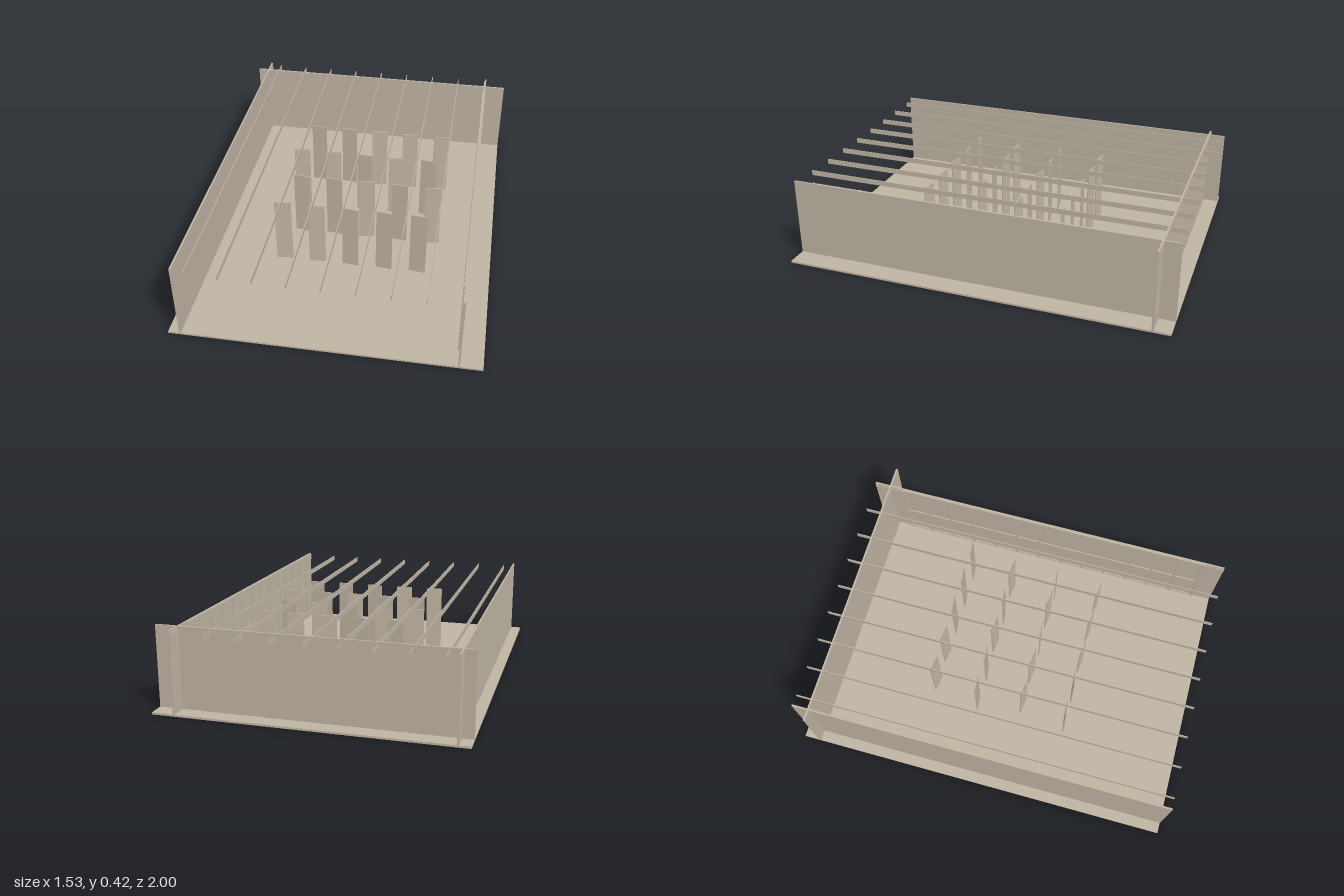
import * as THREE from 'three';

export function createModel() {
  const group = new THREE.Group();
  const board = new THREE.MeshStandardMaterial({ color: 0xc0b5a4 });
  board.name = 'greyBeigeBoard';

  // Box given by its extents on each axis
  function slab(name, [x0, x1], [y0, y1], [z0, z1], parent = group) {
    const mesh = new THREE.Mesh(new THREE.BoxGeometry(x1 - x0, y1 - y0, z1 - z0), board);
    mesh.position.set((x0 + x1) / 2, (y0 + y1) / 2, (z0 + z1) / 2);
    mesh.name = name;
    parent.add(mesh);
    return mesh;
  }

  const base = 0.01, top = 0.423;

  // Floor and three walls, crossing each other at the back corners
  slab('floor', [-0.765, 0.765], [0, base], [-1, 1]);
  slab('rightWall', [-0.709, -0.7], [base, top], [-1, 1]);
  slab('leftWall', [0.646, 0.655], [base, top], [-1, 1]);
  slab('backWall', [-0.765, 0.765], [base, top], [-0.917, -0.907]);

  // Window framing on the inner face of the left wall
  const frame = new THREE.Group();
  frame.name = 'windowFrame';
  group.add(frame);
  const zStart = -0.83, zEnd = 0.89, bays = 13;
  for (let i = 0; i <= bays; i++) {
    const z = zStart + ((zEnd - zStart) * i) / bays;
    slab('mullion', [0.637, 0.646], [base, top - 0.001], [z - 0.006, z + 0.006], frame);
  }
  for (const y of [0.016, 0.2, 0.416]) {
    slab('rail', [0.639, 0.646], [y - 0.005, y + 0.005], [zStart, zEnd], frame);
  }

  // Ceiling beams, running the full depth and through the back wall
  const beams = new THREE.Group();
  beams.name = 'ceilingBeams';
  group.add(beams);
  for (let i = -4; i <= 4; i++) {
    const x = i * 0.161;
    slab('beam', [x - 0.002, x + 0.002], [0.384, 0.411], [-1, 1], beams);
  }

  // Staggered rows of standing screens, each turned slightly
  const screens = new THREE.Group();
  screens.name = 'screens';
  group.add(screens);
  const rows = [
    { z: -0.375, x: -0.274, turns: [-1, -1, 1, 1, 1] },
    { z: -0.127, x: -0.323, turns: [1, 1, -1, 1, -1] },
    { z: 0.12, x: -0.274, turns: [-1, -1, 1, -1, 1] },
    { z: 0.367, x: -0.323, turns: [1, 1, -1, -1, -1] },
  ];
  for (const row of rows) {
    row.turns.forEach((turn, i) => {
      const screen = slab('screen', [-0.043, 0.043], [base, 0.378], [-0.003, 0.003], screens);
      screen.position.x = row.x + i * 0.177;
      screen.position.z = row.z;
      screen.rotation.y = turn * 0.13;
    });
  }

  return group;
}
